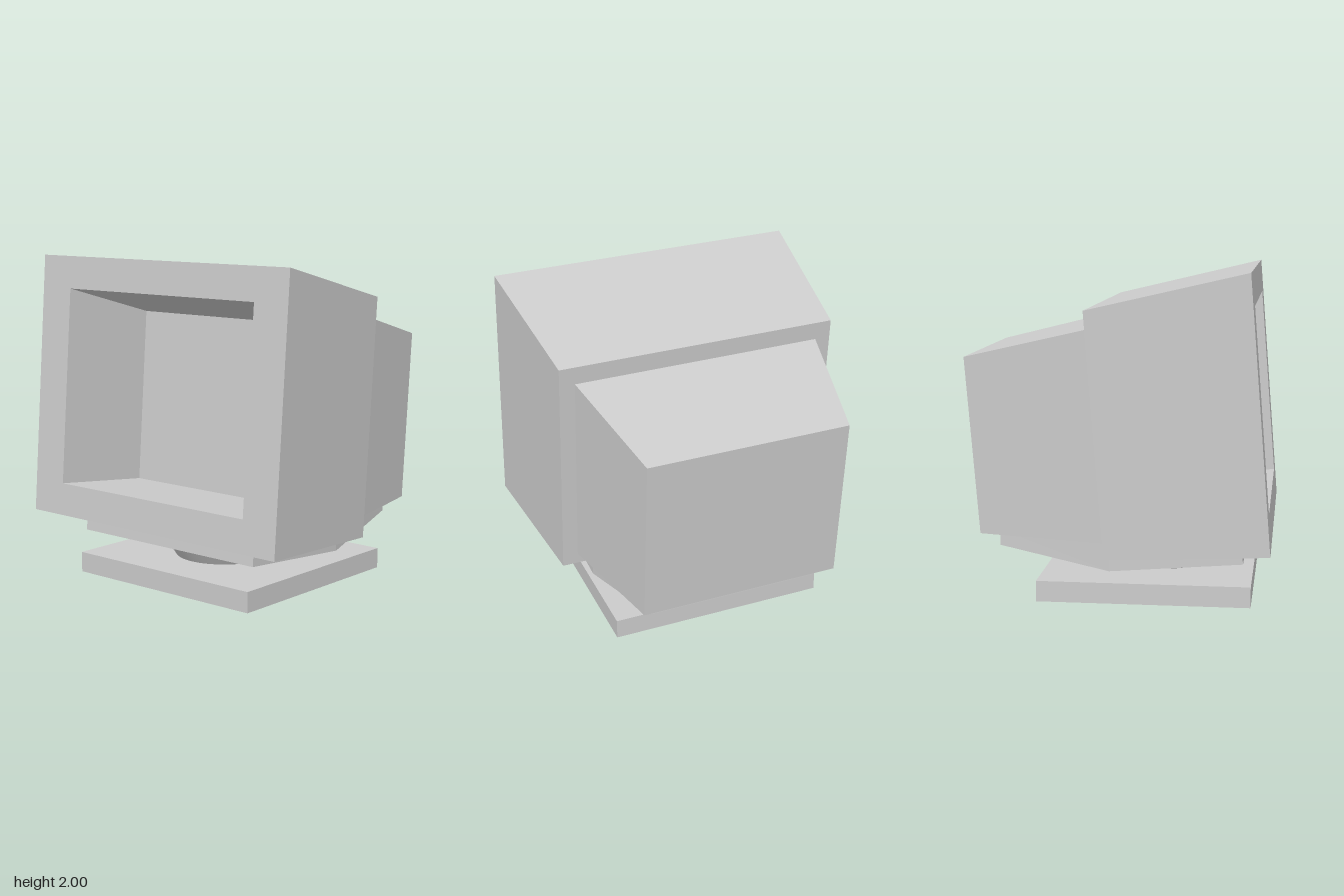
import * as THREE from 'three';

const material = new THREE.MeshStandardMaterial({ color: 0xcccccc, flatShading: true });

// Closed loft through rectangular rings listed back to front.
// Each ring: [half width, bottom y, bottom z, top y, top z]
function loft(name, rings) {
  const corners = rings.map(([w, by, bz, ty, tz]) => [
    [-w, by, bz], [w, by, bz], [w, ty, tz], [-w, ty, tz],
  ]);
  const positions = [];
  const quad = (a, b, c, d) => positions.push(...a, ...b, ...c, ...a, ...c, ...d);

  for (let r = 0; r < corners.length - 1; r++) {
    const back = corners[r], front = corners[r + 1];
    for (let i = 0; i < 4; i++) {
      const j = (i + 1) % 4;
      quad(back[i], back[j], front[j], front[i]);
    }
  }
  const first = corners[0], last = corners[corners.length - 1];
  quad(first[3], first[2], first[1], first[0]);
  quad(...last);

  const geometry = new THREE.BufferGeometry();
  geometry.setAttribute('position', new THREE.Float32BufferAttribute(positions, 3));
  geometry.computeVertexNormals();
  return named(name, geometry, material);
}

function named(name, geometry, mat) {
  const mesh = new THREE.Mesh(geometry, mat);
  mesh.name = name;
  return mesh;
}

export function createModel() {
  const model = new THREE.Group();
  model.name = 'deskMonitor';

  // Front housing: outer shell, bezel, recess walls and screen in one loft
  model.add(loft('frontHousing', [
    [0.888, 0.317, -0.05, 1.775, -0.167],
    [0.985, 0.383, 0.923, 2.0, 0.794],
    [0.742, 0.583, 0.907, 1.8, 0.81],
    [0.668, 0.528, 0.3, 1.623, 0.215],
  ]));

  // Rear housing tapering towards the back
  model.add(loft('rearHousing', [
    [0.635, 0.4, -0.839, 1.475, -0.926],
    [0.79, 0.39, -0.055, 1.66, -0.158],
  ]));

  // Tilt cradle with a bent underside
  model.add(loft('tiltCradle', [
    [0.555, 0.312, -0.735, 0.405, -0.73],
    [0.69, 0.2, -0.045, 0.405, -0.045],
    [0.69, 0.265, 0.757, 0.395, 0.745],
  ]));

  // Swivel neck, its top sunk into the cradle
  const neckMaterial = material.clone();
  neckMaterial.flatShading = false;
  const neck = named('swivelNeck', new THREE.CylinderGeometry(0.415, 0.308, 0.165, 48), neckMaterial);
  neck.position.set(0, 0.2075, 0.21);
  model.add(neck);

  // Base plate
  const base = named('basePlate', new THREE.BoxGeometry(1.38, 0.127, 1.295), material);
  base.position.set(0, 0.0635, 0.157);
  model.add(base);

  return model;
}
